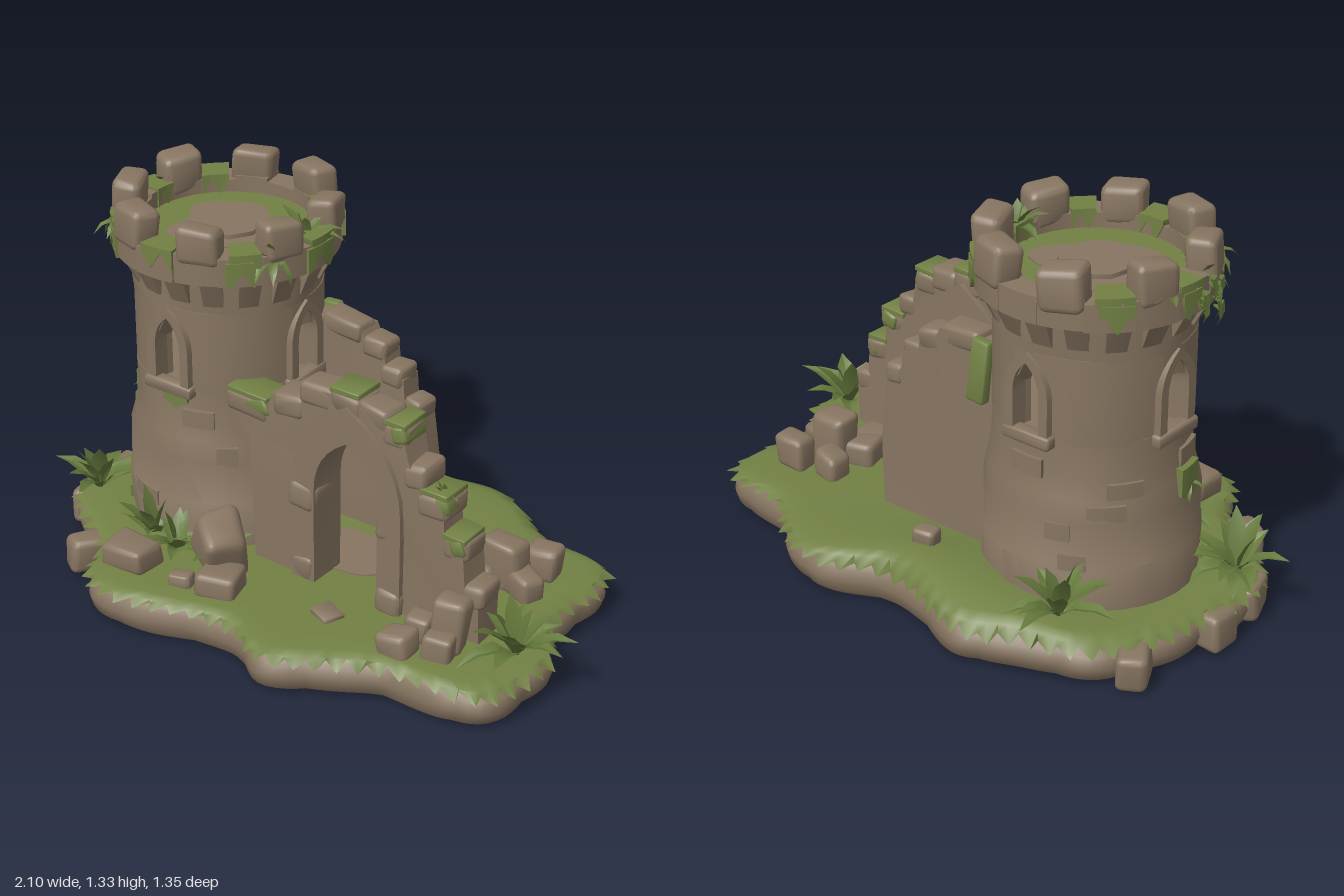
import * as THREE from 'three';
import { toCreasedNormals } from 'three/addons/utils/BufferGeometryUtils.js';
import { RoundedBoxGeometry } from 'three/addons/geometries/RoundedBoxGeometry.js';

const mat = (name, color, side = THREE.FrontSide) => {
  const m = new THREE.MeshStandardMaterial({ color, side });
  m.name = name;
  return m;
};
const V = (x, y, z) => new THREE.Vector3(x, y, z);
const V2 = (x, y) => new THREE.Vector2(x, y);

export function createModel() {
  const root = new THREE.Group();
  root.name = 'ruinedCastle';
  const stone = mat('stone', 0x877561);
  const earth = mat('earth', 0x746353);
  const moss = mat('moss', 0x728145, THREE.DoubleSide);
  const leaf = mat('leaf', 0x667a3c, THREE.DoubleSide);

  let seed = 7;
  const rnd = (a, b) => {
    seed = (seed * 16807) % 2147483647;
    return a + (b - a) * seed / 2147483647;
  };
  const add = (name, geo, material, parent = root, crease = 0.7) => {
    const mesh = new THREE.Mesh(toCreasedNormals(geo, crease), material);
    mesh.name = name;
    parent.add(mesh);
    return mesh;
  };
  // Smooth wobble that makes masonry look worn
  const warp = (geo, amp) => {
    const p = geo.attributes.position, s = rnd(0, 9), f = 14;
    for (let i = 0; i < p.count; i++) {
      const x = p.getX(i), y = p.getY(i), z = p.getZ(i);
      p.setXYZ(i, x + amp * Math.sin(f * (y + z) + s), y + amp * Math.sin(f * (x - z) + 2 * s), z + amp * Math.sin(f * (x + y) + 3 * s));
    }
    return geo;
  };
  const rock = (name, x, y, z, w, h, d, ry = 0, rz = 0, material = stone, parent = root) => {
    const small = Math.min(w, h, d);
    const m = add(name, warp(new RoundedBoxGeometry(w, h, d, 2, small * 0.24), small * 0.08), material, parent);
    m.position.set(x, y, z);
    m.rotation.set(0, ry, rz);
    return m;
  };
  // Skin closed rings of points from bottom to top
  const loft = (rings) => {
    const n = rings[0].length, idx = [];
    for (let r = 0; r < rings.length - 1; r++) for (let i = 0; i < n; i++) {
      const a = r * n + i, b = r * n + (i + 1) % n;
      idx.push(a, a + n, b, b, a + n, b + n);
    }
    const g = new THREE.BufferGeometry().setFromPoints(rings.flat());
    g.setIndex(idx);
    return g;
  };

  // Island: lumpy stone slab under a grass sheet with a ragged fringe
  const outline = new THREE.CatmullRomCurve3([
    [-0.94, -0.1], [-0.88, -0.35], [-0.77, -0.5], [-0.58, -0.57], [-0.4, -0.65], [-0.05, -0.56], [0.25, -0.65],
    [0.4, -0.6], [0.55, -0.49], [0.84, -0.43], [0.86, -0.03], [0.95, 0.08], [0.9, 0.41], [0.55, 0.47],
    [0.22, 0.64], [0.03, 0.56], [-0.4, 0.65], [-0.53, 0.6], [-0.6, 0.46], [-0.93, 0.2],
  ].map(([x, z]) => V(x, 0, z)), true).getSpacedPoints(168).slice(0, 168);
  const height = (x, z) => 0.15 + 0.06 * Math.exp(-((x + 0.2) ** 2 * 6 + (z + 0.47) ** 2 * 40));
  const lump = (i) => 0.985 + 0.02 * Math.abs(Math.sin(i * Math.PI / 8));
  const slab = [[0.95, 0], [0.985, 0.018], [1, 0.06], [0.99, 0.1], [0.95, 0.125]];
  add('stoneBase', loft(slab.map(([s, y]) => outline.map((p, i) => V(p.x * s * lump(i), y, p.z * s * lump(i))))), stone, root, 0.9);
  const sole = new THREE.Shape(outline.map((p, i) => V2(p.x * 0.95 * lump(i), p.z * 0.95 * lump(i))));
  add('underside', new THREE.ShapeGeometry(sole).rotateX(Math.PI / 2), earth);
  const fringe = outline.map((p, i) => {
    const k = (i % 2 ? 1.035 : 0.99) + rnd(-0.006, 0.006);
    return V(p.x * k, (i % 2 ? 0.112 : 0.132) + rnd(-0.008, 0.008), p.z * k);
  });
  const lawn = [0.985, 0.93, 0.82, 0.65, 0.45, 0.25, 0.001].map((s, j) => outline.map((p) =>
    V(p.x * s, height(p.x * s, p.z * s) - (j ? 0 : 0.008), p.z * s)));
  add('grass', loft([fringe, ...lawn]), moss, root, 1.2);
  // Bare ground: an uneven flat plate
  const bareGround = (name, r, y, parent) => {
    const pts = Array.from({ length: 28 }, (_, i) => {
      const a = i * Math.PI / 14, k = r * (1 + 0.13 * Math.sin(3 * a + 1) + 0.09 * Math.sin(5 * a));
      return V2(k * Math.cos(a), k * Math.sin(a));
    });
    const m = add(name, new THREE.ExtrudeGeometry(new THREE.Shape(pts), { depth: 0.006, bevelEnabled: false }).rotateX(-Math.PI / 2), stone, parent);
    m.position.y = y;
    return m;
  };
  const path = bareGround('dirtPatch', 0.19, 0.149, root);
  path.position.x = 0.12;
  path.scale.z = 0.65;

  // Round tower
  const tower = new THREE.Group();
  tower.name = 'tower';
  tower.position.set(-0.45, 0, -0.07);
  root.add(tower);
  const lathe = (name, pts) => add(name, warp(new THREE.LatheGeometry(pts.map(([r, y]) => V2(r, y)), 32), 0.004), stone, tower);
  // Curved block: w is an angle, the bottom may follow a function across the width
  const block = (name, a, w, r0, r1, y0, y1, material = stone, inset = 0) => {
    const g = new THREE.BoxGeometry(1, 1, 1, 6, 1, 1), p = g.attributes.position;
    for (let i = 0; i < p.count; i++) {
      const low = p.getY(i) < 0, u = p.getX(i), ang = a + u * w;
      const r = p.getZ(i) < 0 ? r0 : r1 - (low ? inset : 0);
      const bottom = typeof y0 === 'function' ? y0(u) : y0;
      p.setXYZ(i, r * Math.sin(ang), low ? bottom : y1, r * Math.cos(ang));
    }
    return add(name, g, material, tower);
  };
  lathe('towerFoot', [[0.35, 0.12], [0.352, 0.3], [0.345, 0.31], [0.345, 0.46], [0.33, 0.53], [0.318, 0.6], [0.316, 0.72], [0, 0.72]]);
  lathe('towerNeck', [[0, 0.99], [0.318, 0.99], [0.322, 1.06], [0.322, 1.14], [0, 1.14]]);

  // Pointed arch path from the left foot over the tip to the right foot
  const archPath = (cx, w, y0, spring, tip) => {
    const curve = new THREE.QuadraticBezierCurve(V2(w, spring), V2(w, spring + 0.65 * (tip - spring)), V2(0, tip));
    const half = [V2(w, y0), ...curve.getPoints(6)];
    return [...half.map((p) => V2(cx - p.x, p.y)), ...half.slice(0, -1).reverse().map((p) => V2(cx + p.x, p.y))];
  };
  const extrude = (pts, depth, z) => new THREE.ExtrudeGeometry(new THREE.Shape(pts), { depth, bevelEnabled: false }).translate(0, 0, z);
  const archFrame = (cx, w, t, y0, spring, tip, tipOut, depth, z) =>
    extrude([...archPath(cx, w + t, y0, spring, tipOut), ...archPath(cx, w, y0, spring, tip).reverse()], depth, z);

  // Window storey: four piers, four arched heads with frames and sills
  for (let i = 0; i < 4; i++) {
    const a = i * Math.PI / 2;
    block('windowPier', a + Math.PI / 4, Math.PI / 2 - 0.38, 0.25, 0.317, 0.71, 1);
    block('windowHead', a, 0.38, 0.25, 0.317, (u) => 0.975 - 0.22 * Math.abs(u), 1);
    add('windowFrame', archFrame(0, 0.051, 0.034, 0.72, 0.85, 0.96, 0.995, 0.06, 0.268), stone, tower).rotation.y = a;
    rock('windowSill', 0.31 * Math.sin(a), 0.71, 0.31 * Math.cos(a), 0.19, 0.045, 0.05, a, 0, stone, tower);
  }
  // Worn bricks standing slightly proud
  for (let i = 0; i < 12; i++) {
    const y = rnd(0.2, 0.62), r = y < 0.44 ? 0.354 : y < 0.52 ? 0.344 : 0.329;
    block('proudBrick', rnd(0, 6.28), rnd(0.2, 0.4), 0.28, r, y, y + rnd(0.05, 0.08));
  }
  // Corbels, parapet ring, merlons and the moss between them
  for (let i = 0; i < 18; i++) block('corbel', (i + 0.5) * Math.PI / 9, 0.2, 0.3, 0.37, rnd(1.025, 1.045), 1.13, stone, 0.045);
  for (let i = 0; i < 16; i++) block('parapetStone', i * Math.PI / 8, 0.393, 0.285, rnd(0.373, 0.383), 1.125, rnd(1.214, 1.23));
  for (let i = 0; i < 8; i++) {
    const gap = i * Math.PI / 4, a = gap + Math.PI / 8;
    rock('merlon', 0.335 * Math.sin(a), 1.25, 0.335 * Math.cos(a), 0.14, rnd(0.125, 0.14), 0.1, a, 0, stone, tower);
    if (i === 4) continue;
    block('parapetMoss', gap + rnd(-0.06, 0.06), rnd(0.24, 0.36), 0.28, 0.384, (u) => 1.19 + 0.03 * Math.sin(9 * u), 1.236, moss);
    if (i) block('hangingMoss', gap + rnd(-0.1, 0.1), rnd(0.2, 0.36), 0.36, 0.388, (u) => 1.15 + 0.03 * Math.sin(8 * u + i), 1.21, moss);
  }
  const disc = (name, r, y, n, material) => {
    add(name, new THREE.CylinderGeometry(r, r, 0.03, n), material, tower).position.y = y;
  };
  disc('roofGrass', 0.3, 1.155, 32, moss);
  bareGround('roofDirt', 0.185, 1.169, tower);
  disc('roofHatch', 0.12, 1.175, 9, stone);
  // Moss on the tower wall: angle, bottom, top, radius
  for (const [a, y0, y1, r] of [[0.07, 0.64, 0.69, 0.327], [-1.4, 0.46, 0.58, 0.35], [-0.9, 0.15, 0.22, 0.36], [0.9, 0.66, 0.75, 0.325]])
    block('wallMoss', a, 0.3, 0.3, r, (u) => y0 + 0.05 * Math.abs(u), y1, moss);

  // Front wall with the pointed gateway and a broken, stepped top
  const wallEnd = [[0.75, 0.13], [0.75, 0.32], [0.7, 0.34], [0.69, 0.47], [0.62, 0.49], [0.61, 0.57], [0.53, 0.61], [0.47, 0.71], [0.45, 0.8],
    [0.27, 0.86], [0.08, 0.86], [0.06, 0.8], [-0.06, 0.79], [-0.08, 0.73], [-0.24, 0.73], [-0.23, 0.64], [-0.16, 0.6], [-0.14, 0.13]].map(([x, y]) => V2(x, y));
  add('frontWall', warp(extrude([...archPath(0.245, 0.135, 0.13, 0.5, 0.72), ...wallEnd], 0.11, 0.095), 0.005), stone);
  add('gateArch', archFrame(0.245, 0.125, 0.09, 0.13, 0.5, 0.71, 0.84, 0.145, 0.078), stone);
  for (const s of [-1, 1]) {
    rock('gateCapital', 0.245 + s * 0.172, 0.46, 0.15, 0.106, 0.1, 0.155);
    rock('gateFoot', 0.245 + s * 0.172, 0.18, 0.15, 0.1, 0.1, 0.155);
  }
  // Loose capping stones: x, top height, width; every other one is mossy
  [[-0.16, 0.75, 0.17], [0, 0.8, 0.12], [0.23, 0.88, 0.12], [0.12, 0.875, 0.13], [0.42, 0.83, 0.09],
    [0.33, 0.865, 0.12], [0.57, 0.63, 0.11], [0.5, 0.71, 0.08], [0.65, 0.5, 0.09], [0.72, 0.35, 0.08]].forEach(([x, y, w], i) => {
    rock('cappingStone', x, y - 0.04, 0.15, w, 0.08, 0.118, 0, rnd(-0.06, 0.06));
    if (i % 2) return;
    rock('cappingMoss', x, y + 0.002, 0.15, w * 0.95, 0.02, 0.12, 0, rnd(-0.08, 0.08), moss);
    if (i !== 2) rock('drapedMoss', x + w * 0.2, y - 0.03, 0.15, w * 0.6, 0.06, 0.124, 0, 0.3, moss);
  });

  // Back wall, broken off beside the gateway
  const back = [[-0.24, 0.13], [0.28, 0.13], [0.285, 0.4], [0.25, 0.66], [0.19, 0.68], [0.18, 0.75], [0.11, 0.77], [0.1, 0.83],
    [0.03, 0.84], [0.01, 0.88], [-0.24, 0.89]].map(([x, y]) => V2(x, y));
  add('backWall', warp(extrude(back, 0.09, -0.265), 0.005), stone);
  for (const [x, y, w] of [[-0.06, 0.9, 0.16], [0.06, 0.86, 0.09], [0.14, 0.79, 0.08], [0.22, 0.69, 0.07]])
    rock('backCappingStone', x, y - 0.035, -0.22, w, 0.07, 0.1, 0, rnd(-0.1, 0));
  rock('backWallMoss', -0.16, 0.79, -0.275, 0.07, 0.22, 0.04, 0, 0.08, moss);

  // Fallen stones resting on the grass: x, z, width, height
  for (const [x, z, w, h] of [[0.69, -0.28, 0.12, 0.12], [0.55, -0.24, 0.11, 0.1], [0.62, -0.15, 0.14, 0.19], [0.54, -0.11, 0.13, 0.1],
    [0.7, -0.13, 0.12, 0.1], [0.56, -0.02, 0.14, 0.09], [0.68, 0.26, 0.11, 0.19], [0.56, 0.37, 0.11, 0.09], [0.69, 0.33, 0.1, 0.1],
    [0.57, 0.27, 0.09, 0.1], [-0.1, 0.43, 0.14, 0.09], [-0.44, 0.48, 0.17, 0.09], [-0.23, 0.48, 0.08, 0.06],
    [-0.05, -0.42, 0.08, 0.07], [0.27, 0.35, 0.09, 0.03]])
    rock('fallenStone', x, height(x, z) - 0.015 + h / 2, z, w, h, w * rnd(0.75, 0.95), rnd(-0.5, 0.4), rnd(-0.1, 0.1));
  rock('fallenBlock', -0.18, 0.24, 0.34, 0.18, 0.18, 0.15, -0.5, -0.4);
  // Boulders bulging from the island's left edge
  for (const [x, z, turn] of [[-0.94, -0.05, 0], [-0.87, -0.38, 0.5], [-0.69, 0.42, -0.6], [-0.91, 0.17, 0.3]])
    rock('edgeBoulder', x, 0.068, z, 0.1, 0.125, 0.14, turn);

  // Leafy plants: arching folded blades around a centre
  const blade = (len, w, lean) => {
    const pts = [], idx = [];
    [[0, 0.3], [0.35, 1], [0.7, 0.75], [1, 0.02]].forEach(([t, k], i) => {
      const bend = lean * (0.6 + 0.6 * t), out = len * t * Math.sin(bend), y = len * t * Math.cos(bend);
      pts.push(V(-w * k, y + w * k * 0.4, out), V(0, y, out), V(w * k, y + w * k * 0.4, out));
      if (i) for (const a of [i * 3 - 3, i * 3 - 2]) idx.push(a, a + 1, a + 3, a + 1, a + 4, a + 3);
    });
    const g = new THREE.BufferGeometry().setFromPoints(pts);
    g.setIndex(idx);
    return g;
  };
  const plant = (x, y, z, len, count, leanMax) => {
    const g = new THREE.Group();
    g.name = 'plant';
    g.position.set(x, y, z);
    for (let i = 0; i < count; i++)
      add('leaf', blade(len * rnd(0.75, 1.1), len * 0.16, rnd(0.2, leanMax)), leaf, g).rotation.y = i * 2.4 + rnd(-0.3, 0.3);
    root.add(g);
  };
  for (const [x, z, len] of [[0.87, 0.17, 0.21], [-0.86, 0.17, 0.21], [-0.66, -0.48, 0.2], [-0.49, 0.31, 0.18], [-0.22, 0.29, 0.18], [-0.37, 0.33, 0.17]])
    plant(x, z < 0 ? 0.2 : 0.14, z, len, 15, 1.3);
  plant(-0.14, 1.2, -0.08, 0.13, 11, 1.3);
  // Tufts spilling over the parapet and clinging to the walls
  for (const [x, y, z] of [[-0.79, 1.2, 0.02], [-0.79, 1.19, -0.15], [-0.13, 1.19, 0.1], [-0.7, 1.2, 0.17], [-0.77, 0.5, 0], [0.58, 0.6, 0.16]])
    plant(x, y, z, y > 1 ? 0.1 : 0.075, 9, 2);
  // Ivy trailing down the left of the parapet
  for (let i = 0; i < 10; i++) {
    const m = add('ivyLeaf', blade(0.07, 0.018, 2.5), leaf, tower), a = rnd(-1.9, -1.2);
    m.position.set(0.38 * Math.sin(a), rnd(1.1, 1.24), 0.38 * Math.cos(a));
    m.rotation.y = a;
  }
  return root;
}
